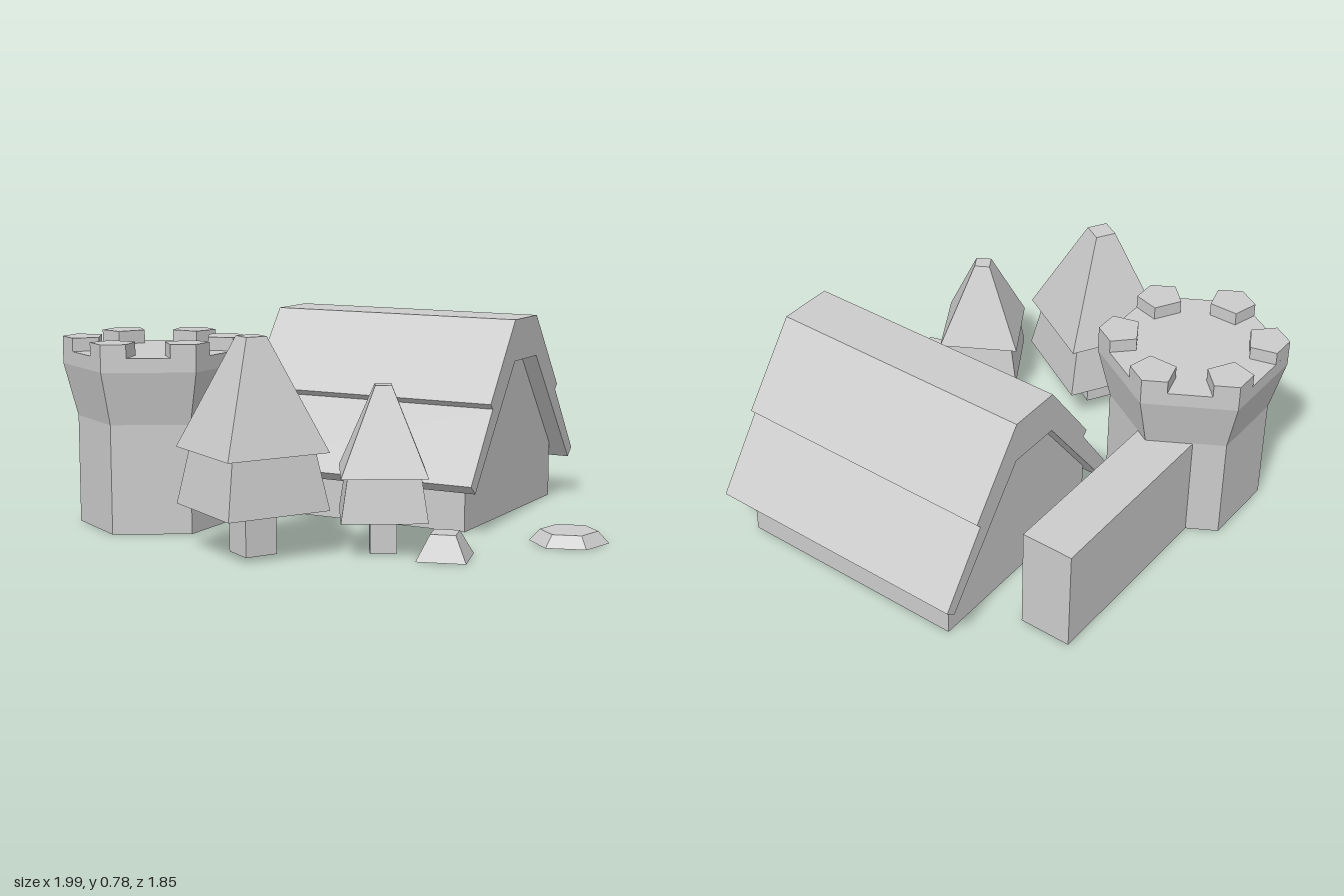
import * as THREE from 'three';

const material = new THREE.MeshStandardMaterial({ color: 0xcccccc, flatShading: true });

function part(parent, name, geometry, x = 0, y = 0, z = 0) {
  const mesh = new THREE.Mesh(geometry, material);
  mesh.name = name;
  mesh.position.set(x, y, z);
  parent.add(mesh);
  return mesh;
}

function group(parent, name, x, z, turn = 0) {
  const g = new THREE.Group();
  g.name = name;
  g.position.set(x, 0, z);
  g.rotation.y = turn;
  parent.add(g);
  return g;
}

// Faceted frustum between two heights
function frustum(parent, name, sides, rTop, rBottom, y0, y1) {
  return part(parent, name, new THREE.CylinderGeometry(rTop, rBottom, y1 - y0, sides), 0, (y0 + y1) / 2, 0);
}

// Mirrors a half profile about its middle and extrudes it along x
function mirroredPrism(half, length) {
  const points = [...half, ...half.map(([a, b]) => [-a, b]).reverse()];
  const shape = new THREE.Shape(points.map(([a, b]) => new THREE.Vector2(a, b)));
  const geometry = new THREE.ExtrudeGeometry(shape, { depth: length, bevelEnabled: false });
  return geometry.translate(0, 0, -length / 2).rotateY(Math.PI / 2);
}

function addTower(root) {
  const tower = group(root, 'tower', -0.7, 0.343);
  const profile = [[0, 0], [0.297, 0], [0.297, 0.415], [0.35, 0.617], [0.35, 0.67], [0, 0.67]];
  part(tower, 'towerBody', new THREE.LatheGeometry(profile.map(([r, y]) => new THREE.Vector2(r, y)), 6));

  // One merlon wraps each corner of the hexagon
  const a = Math.PI / 12;
  const inner = 0.214;
  const outer = 0.303 / Math.cos(a);
  const at = (r, t) => new THREE.Vector2(r * Math.sin(t), r * Math.cos(t));
  const shape = new THREE.Shape([at(inner, -a), at(inner, a), at(outer, a), at(0.35, 0), at(outer, -a)]);
  const merlon = new THREE.ExtrudeGeometry(shape, { depth: 0.053, bevelEnabled: false }).rotateX(-Math.PI / 2);
  for (let i = 0; i < 6; i++) {
    part(tower, 'merlon', merlon, 0, 0.668, 0).rotation.y = (i * Math.PI) / 3;
  }
}

function addHouse(root) {
  const house = group(root, 'house', -0.015, -0.433);
  part(house, 'houseWalls', mirroredPrism([[0.412, 0], [0.412, 0.222], [0.105, 0.62]], 0.92));
  // Stepped roof shell, thick upper course over a thinner lower one
  part(house, 'roof', mirroredPrism(
    [[0.105, 0.62], [0.46, 0.16], [0.498, 0.193], [0.309, 0.46], [0.328, 0.48], [0.105, 0.78]], 1.05));
}

function addTree(root, x, z, turn, t) {
  const tree = group(root, 'tree', x, z, turn);
  frustum(tree, 'trunk', 4, t.trunk, t.trunk, 0, t.low);
  frustum(tree, 'lowerFoliage', 4, t.neck, t.radius, t.low, t.mid);
  frustum(tree, 'upperFoliage', 4, t.tip, t.radius, t.mid, t.top);
}

export function createModel() {
  const root = new THREE.Group();
  root.name = 'village';

  addTower(root);
  part(root, 'wall', new THREE.BoxGeometry(0.203, 0.413, 0.79), -0.749, 0.2065, -0.245);
  addHouse(root);

  // Trees
  addTree(root, -0.081, 0.643, Math.atan2(0.276, -0.072),
    { trunk: 0.088, radius: 0.286, neck: 0.235, tip: 0.057, low: 0.167, mid: 0.375, top: 0.782 });
  addTree(root, 0.314, 0.394, Math.atan2(0.057, -0.212),
    { trunk: 0.069, radius: 0.219, neck: 0.185, tip: 0.042, low: 0.13, mid: 0.29, top: 0.605 });

  // Rocks
  frustum(group(root, 'squareRock', 0.558, 0.387, Math.atan2(0.062, -0.113)), 'rock', 4, 0.065, 0.128, 0, 0.092);
  frustum(group(root, 'flatRock', 0.85, -0.06, Math.atan2(0.033, -0.144)), 'rock', 6, 0.107, 0.148, 0, 0.044);

  return root;
}
